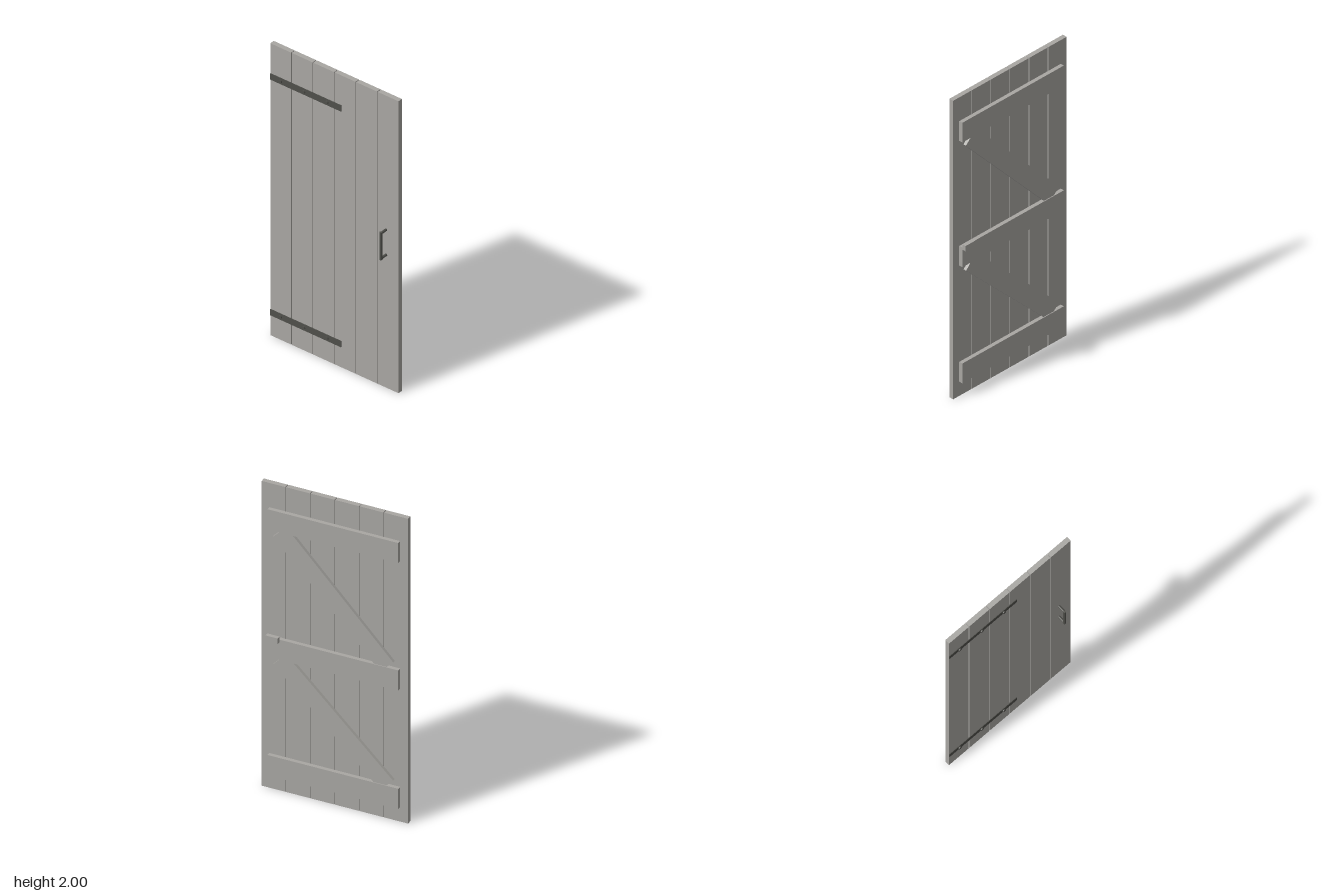
import * as THREE from 'three';

const mat = (name, color) => {
  const m = new THREE.MeshStandardMaterial({ color });
  m.name = name;
  return m;
};

export function createModel() {
  const wood = mat('weathered wood', 0xa9a7a3);
  const iron = mat('dark iron', 0x50504b);

  const door = new THREE.Group();
  door.name = 'plankDoor';

  const add = (name, geometry, material, x, y, z, parent = door) => {
    const mesh = new THREE.Mesh(geometry, material);
    mesh.name = name;
    mesh.position.set(x, y, z);
    parent.add(mesh);
    return mesh;
  };
  // Box given by its limits on each axis
  const box = (name, material, x0, x1, y0, y1, z0, z1, parent) =>
    add(name, new THREE.BoxGeometry(x1 - x0, y1 - y0, z1 - z0), material,
      (x0 + x1) / 2, (y0 + y1) / 2, (z0 + z1) / 2, parent);

  const back = -0.018, front = 0.0125;

  // Six upright planks with narrow gaps
  const pitch = 0.1548, plankWidth = 0.15;
  for (let i = 0; i < 6; i++) {
    const x = (i - 2.5) * pitch;
    box('plank', wood, x - plankWidth / 2, x + plankWidth / 2, 0, 2, back, front);
  }

  // Three cross rails on the back
  const rails = [[0.095, 0.228], [0.873, 1.005], [1.709, 1.841]];
  for (const [y0, y1] of rails) box('backRail', wood, -0.413, 0.413, y0, y1, -0.043, back);

  // Diagonal braces between the rails
  for (let i = 0; i < 2; i++) {
    const y0 = rails[i][1], y1 = rails[i + 1][0];
    const run = 0.675, rise = y1 - y0;
    const brace = add('diagonalBrace',
      new THREE.BoxGeometry(Math.hypot(run, rise), 0.116, 0.02), wood,
      0, (y0 + y1) / 2, back - 0.01);
    brace.rotation.z = Math.atan2(rise, run);
  }

  // Latch block on the middle rail
  box('latchBlock', wood, 0.335, 0.413, 0.99, 1.026, -0.068, -0.043);

  // Hinge straps with three bolts each
  for (const y of [0.16, 1.775]) {
    const hinge = new THREE.Group();
    hinge.name = 'hinge';
    door.add(hinge);
    box('hingeStrap', iron, -0.46, 0.05, y - 0.021, y + 0.021, front, front + 0.004, hinge);
    for (const x of [-0.385, -0.217, -0.05]) {
      const bolt = add('hingeBolt', new THREE.CylinderGeometry(0.0105, 0.0105, 0.01, 12),
        iron, x, y, front + 0.007, hinge);
      bolt.rotation.x = Math.PI / 2;
    }
  }

  // Pull handle: upright grip on two posts
  const handle = new THREE.Group();
  handle.name = 'handle';
  door.add(handle);
  const r = 0.008, hx = 0.373, gripZ = 0.068 - r;
  add('handleGrip', new THREE.CylinderGeometry(r, r, 0.188, 12), iron, hx, 0.997, gripZ, handle);
  for (const y of [0.911, 1.083]) {
    const post = add('handlePost', new THREE.CylinderGeometry(r, r, gripZ - front, 12),
      iron, hx, y, (gripZ + front) / 2, handle);
    post.rotation.x = Math.PI / 2;
  }

  return door;
}
